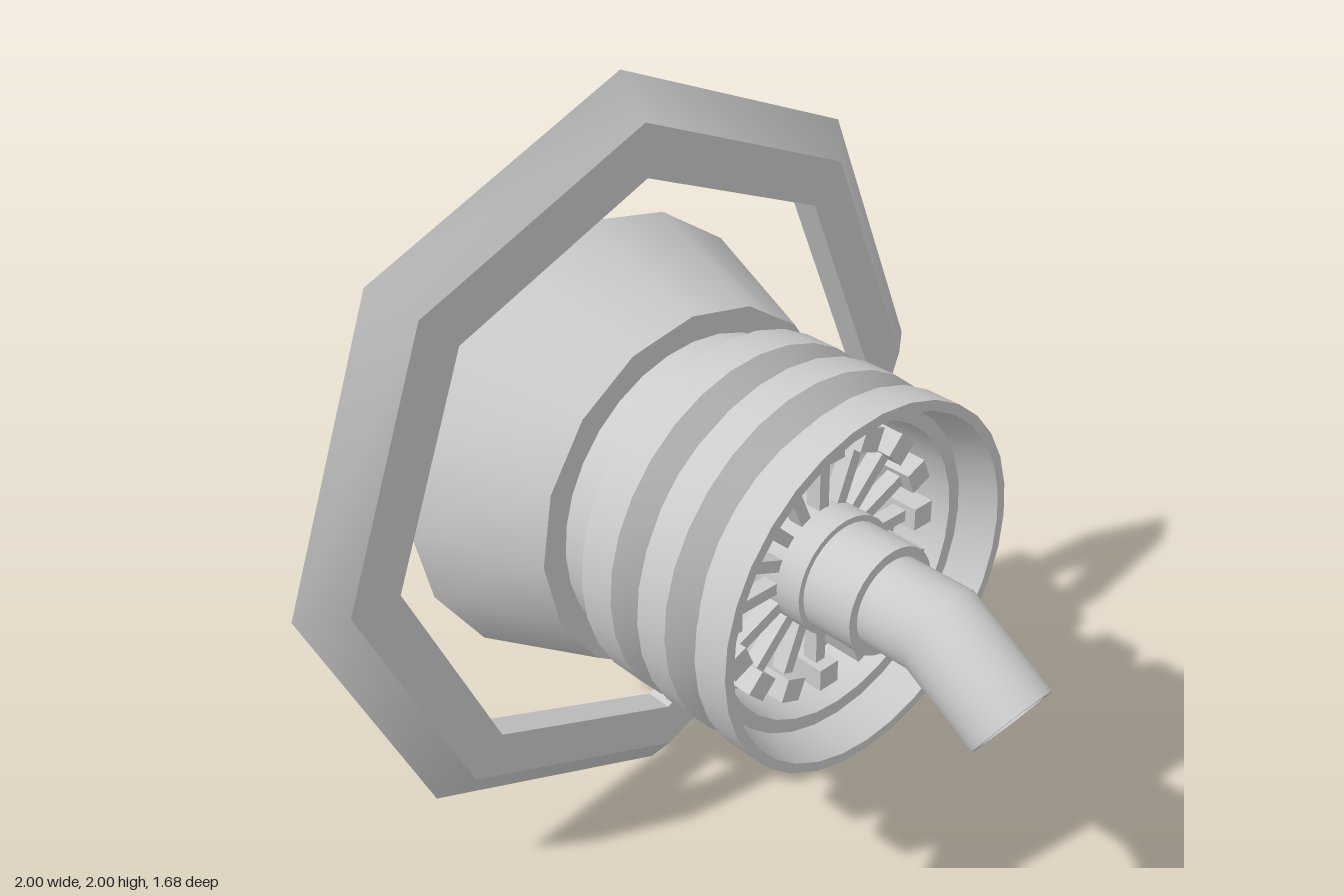
import * as THREE from 'three';
import { toCreasedNormals } from 'three/addons/utils/BufferGeometryUtils.js';

const material = new THREE.MeshStandardMaterial({ color: 0xcccccc, side: THREE.DoubleSide });

// Turned solid about the z axis from [radius, z] pairs
function turned(profile, sides) {
  const points = profile.map(([r, z]) => new THREE.Vector2(r, z));
  return new THREE.LatheGeometry(points, sides).rotateX(Math.PI / 2);
}

export function createModel() {
  const model = new THREE.Group();
  model.name = 'nozzleAssembly';
  const axis = new THREE.Group();
  axis.name = 'axis';
  axis.position.y = 1;
  model.add(axis);

  const add = (name, geometry, parent = axis) => {
    const mesh = new THREE.Mesh(toCreasedNormals(geometry, 0.6), material);
    mesh.name = name;
    parent.add(mesh);
    return mesh;
  };

  // Octagonal ring with bevelled rim and a groove in its back
  add('octagonalRing', turned([
    [0.77, -0.44], [0.84, -0.44], [0.84, -0.405], [0.91, -0.405], [0.91, -0.44],
    [1, -0.44], [0.9, -0.36], [0.77, -0.36], [0.77, -0.44],
  ], 8));

  // Rear tube and flared collar
  add('rearHousing', turned([
    [0.365, -0.84], [0.48, -0.84], [0.48, -0.58], [0.6, -0.58],
    [0.475, -0.22], [0.365, -0.22], [0.365, -0.84],
  ], 16));

  // Neck and grooved drum with a stepped recess in front
  add('groovedDrum', turned([
    [0.3, -0.26], [0.4, -0.26], [0.41, -0.22], [0.41, -0.1],
    [0.46, -0.1], [0.46, 0], [0.4, 0.037], [0.4, 0.048],
    [0.46, 0.09], [0.46, 0.18], [0.4, 0.22], [0.4, 0.239],
    [0.46, 0.276], [0.46, 0.37], [0.435, 0.37], [0.41, 0.27],
    [0.375, 0.27], [0.37, 0.12], [0.3, 0.12], [0.3, -0.26],
  ], 32));

  // Hub and flange carrying the nozzle
  add('hub', turned([[0, 0.1], [0.15, 0.1], [0.15, 0.28], [0.135, 0.28],
    [0.135, 0.42], [0, 0.42]], 32));

  // Spokes ending in square blocks
  const wheel = new THREE.Group();
  wheel.name = 'spokeWheel';
  axis.add(wheel);
  const count = 16;
  for (let i = 0; i < count; i++) {
    const arm = new THREE.Group();
    arm.name = 'spokeArm';
    arm.rotation.z = (i / count) * Math.PI * 2;
    wheel.add(arm);
    add('spoke', new THREE.BoxGeometry(0.03, 0.17, 0.04).translate(0, 0.215, 0.19), arm);
    add('spokeBlock', new THREE.BoxGeometry(0.06, 0.06, 0.12).translate(0, 0.315, 0.18), arm);
  }

  // Nozzle: a straight tube, mitred and bent downwards past the elbow
  const elbow = 0.565, bend = THREE.MathUtils.degToRad(32);
  const nozzle = turned([
    [0.11, 0.38], [0.11, elbow], [0.11, 0.815], [0.088, 0.815], [0.088, 0.765],
    [0.058, 0.765], [0.058, 0.8], [0.045, 0.8], [0.045, 0.78], [0, 0.78],
  ], 32);
  const p = nozzle.attributes.position;
  for (let i = 0; i < p.count; i++) {
    const y = p.getY(i), t = p.getZ(i) - elbow;
    if (t > 0.01) {
      p.setY(i, y * Math.cos(bend) - t * Math.sin(bend));
      p.setZ(i, elbow + t * Math.cos(bend) + y * Math.sin(bend));
    } else if (t > -0.01) {
      p.setZ(i, elbow + y * Math.tan(bend / 2));
    }
  }
  add('nozzle', nozzle);

  return model;
}
